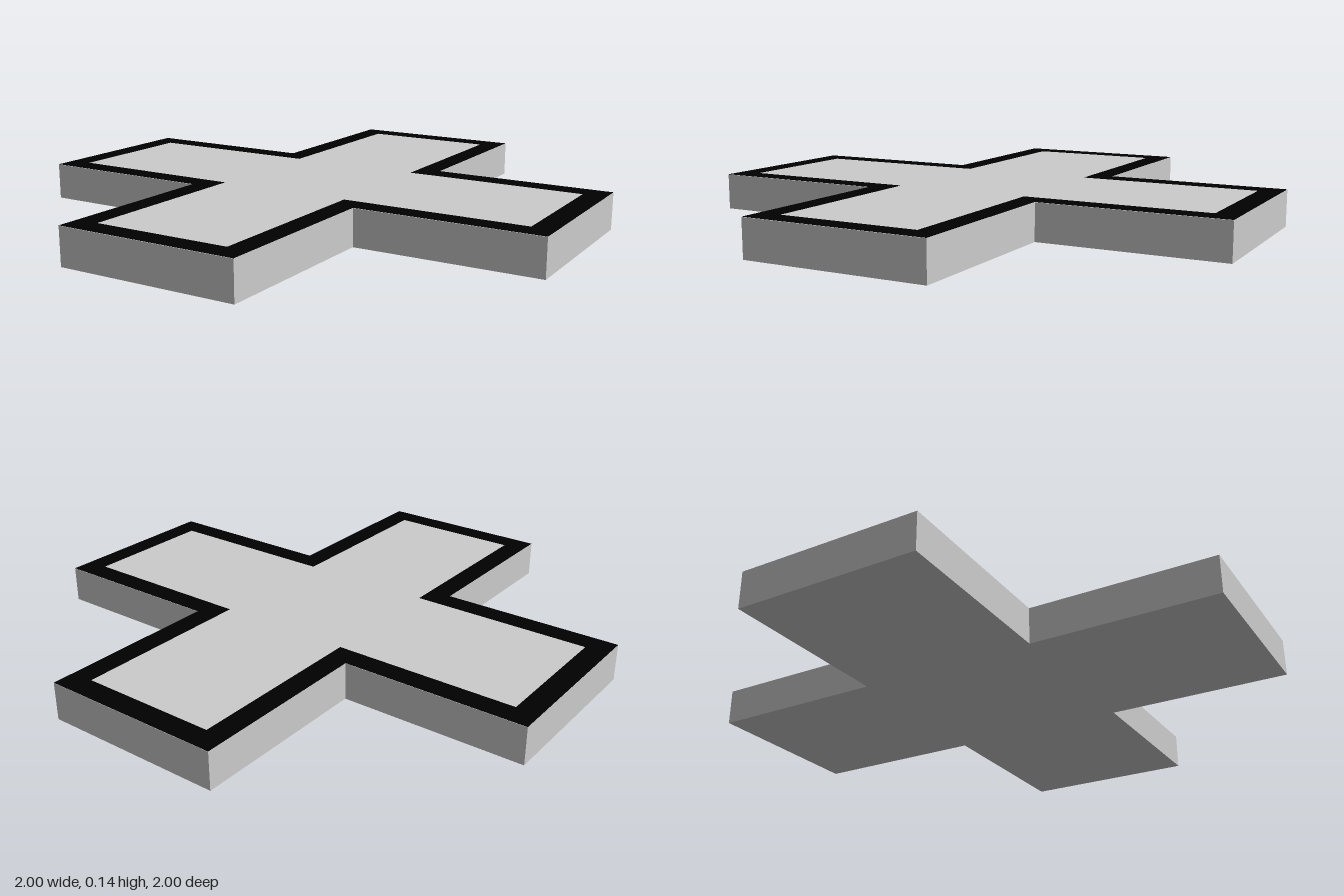
import * as THREE from 'three';

const HEIGHT = 0.134;
const RIM = 0.083;
const LIFT = 0.001;

// Corners of a plus sign: half length of the arms, half width of the arms
function plusPoints(length, width) {
  const points = [];
  for (let i = 0; i < 4; i++) {
    const arm = [[length, -width], [length, width], [width, width]];
    for (const [x, y] of arm) {
      points.push(new THREE.Vector2(x, y).rotateAround(new THREE.Vector2(), i * Math.PI / 2));
    }
  }
  return points;
}

export function createModel() {
  const group = new THREE.Group();
  group.name = 'plusTile';

  // Solid plus-shaped slab
  const outline = plusPoints(1, 1 / 3);
  const slabGeometry = new THREE.ExtrudeGeometry(new THREE.Shape(outline), {
    depth: HEIGHT, bevelEnabled: false,
  });
  slabGeometry.rotateX(-Math.PI / 2);
  const slab = new THREE.Mesh(slabGeometry, new THREE.MeshStandardMaterial({ color: 0xcccccc }));
  slab.name = 'slab';
  group.add(slab);

  // Flat black border around the top face
  const borderShape = new THREE.Shape(outline);
  borderShape.holes.push(new THREE.Path(plusPoints(1 - RIM, 1 / 3 - RIM)));
  const borderGeometry = new THREE.ShapeGeometry(borderShape);
  borderGeometry.rotateX(-Math.PI / 2);
  const border = new THREE.Mesh(borderGeometry, new THREE.MeshStandardMaterial({ color: 0x000000 }));
  border.name = 'topBorder';
  border.position.y = HEIGHT + LIFT;
  group.add(border);

  return group;
}
